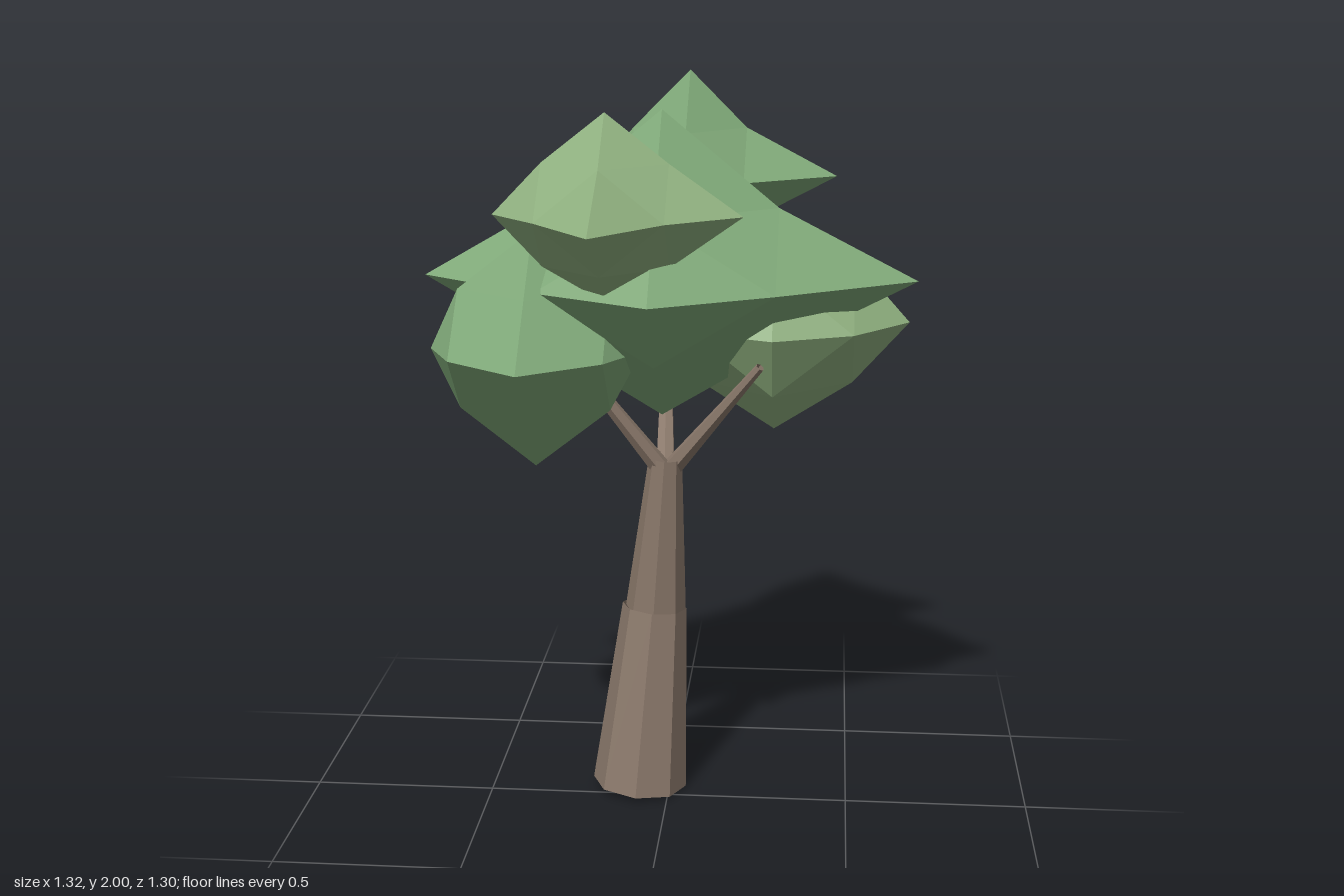
import * as THREE from 'three';

const bark = new THREE.MeshStandardMaterial({ color: 0x8c7a6c, flatShading: true, side: THREE.DoubleSide });
const leaf = (color) => new THREE.MeshStandardMaterial({ color, flatShading: true });
const green = leaf(0x7fa878);
const paleGreen = leaf(0x90b180);

// Tapered, open-ended eight-sided limb between two points
function limb(name, from, to, r0, r1, sides = 8) {
  const a = new THREE.Vector3(...from);
  const b = new THREE.Vector3(...to);
  const dir = b.clone().sub(a);
  const mesh = new THREE.Mesh(new THREE.CylinderGeometry(r1, r0, dir.length(), sides, 1, true), bark);
  mesh.position.copy(a).add(b).multiplyScalar(0.5);
  mesh.quaternion.setFromUnitVectors(new THREE.Vector3(0, 1, 0), dir.normalize());
  mesh.name = name;
  return mesh;
}

// Leaf clump: octahedron split once. Its six tips reach lo / hi from the centre,
// and the twelve edge points sit at a fixed offset "mid" along each axis.
function clump(name, centre, lo, hi, mid, material) {
  const points = [];
  for (const sx of [-1, 1]) for (const sy of [-1, 1]) for (const sz of [-1, 1]) {
    const s = [sx, sy, sz];
    const tip = (i) => [0, 1, 2].map((k) => (k === i ? (s[k] > 0 ? hi[k] : lo[k]) - centre[k] : 0));
    const edge = (skip) => [0, 1, 2].map((k) => (k === skip ? 0 : s[k] * mid[k]));
    const [x, y, z] = [tip(0), tip(1), tip(2)];
    const [yz, xz, xy] = [edge(0), edge(1), edge(2)];
    for (const tri of [[x, xy, xz], [xy, y, yz], [xz, yz, z], [xy, yz, xz]]) {
      if (sx * sy * sz < 0) tri.reverse();
      points.push(...tri.flat());
    }
  }
  const geometry = new THREE.BufferGeometry();
  geometry.setAttribute('position', new THREE.Float32BufferAttribute(points, 3));
  geometry.computeVertexNormals();
  const mesh = new THREE.Mesh(geometry, material);
  mesh.position.set(...centre);
  mesh.name = name;
  return mesh;
}

export function createModel() {
  const tree = new THREE.Group();
  tree.name = 'tree';

  // Trunk in two leaning sections
  tree.add(limb('lowerTrunk', [-0.085, 0.015, -0.063], [-0.043, 0.54, -0.082], 0.132, 0.09));
  tree.add(limb('upperTrunk', [-0.04, 0.535, -0.085], [-0.008, 0.985, -0.03], 0.084, 0.045));

  // Branches
  tree.add(limb('leftBranch', [0.0, 0.94, -0.045], [0.25, 1.265, 0.095], 0.028, 0.012, 6));
  tree.add(limb('rightBranch', [-0.01, 0.94, -0.03], [-0.28, 1.32, 0.08], 0.028, 0.012, 6));
  tree.add(limb('backBranch', [-0.01, 0.94, -0.05], [-0.03, 1.28, -0.34], 0.028, 0.012, 6));

  // Foliage
  tree.add(clump('middleFoliage', [-0.02, 1.47, -0.06],
    [-0.66, 1.095, -0.64], [0.66, 1.915, 0.39], [0.31, 0.19, 0.26], green));
  tree.add(clump('frontTopFoliage', [-0.135, 1.68, 0.26],
    [-0.42, 1.46, 0.0], [0.21, 1.935, 0.645], [0.16, 0.13, 0.15], paleGreen));
  tree.add(clump('backTopFoliage', [0.037, 1.715, -0.308],
    [-0.23, 1.5, -0.65], [0.44, 2.0, -0.1], [0.155, 0.13, 0.18], green));
  tree.add(clump('rightLowFoliage', [-0.345, 1.3, 0.09],
    [-0.62, 0.985, -0.16], [-0.06, 1.615, 0.418], [0.2, 0.16, 0.165], green));
  tree.add(clump('leftLowFoliage', [0.28, 1.335, -0.188],
    [-0.08, 1.03, -0.613], [0.645, 1.61, 0.11], [0.213, 0.17, 0.2], paleGreen));

  return tree;
}
